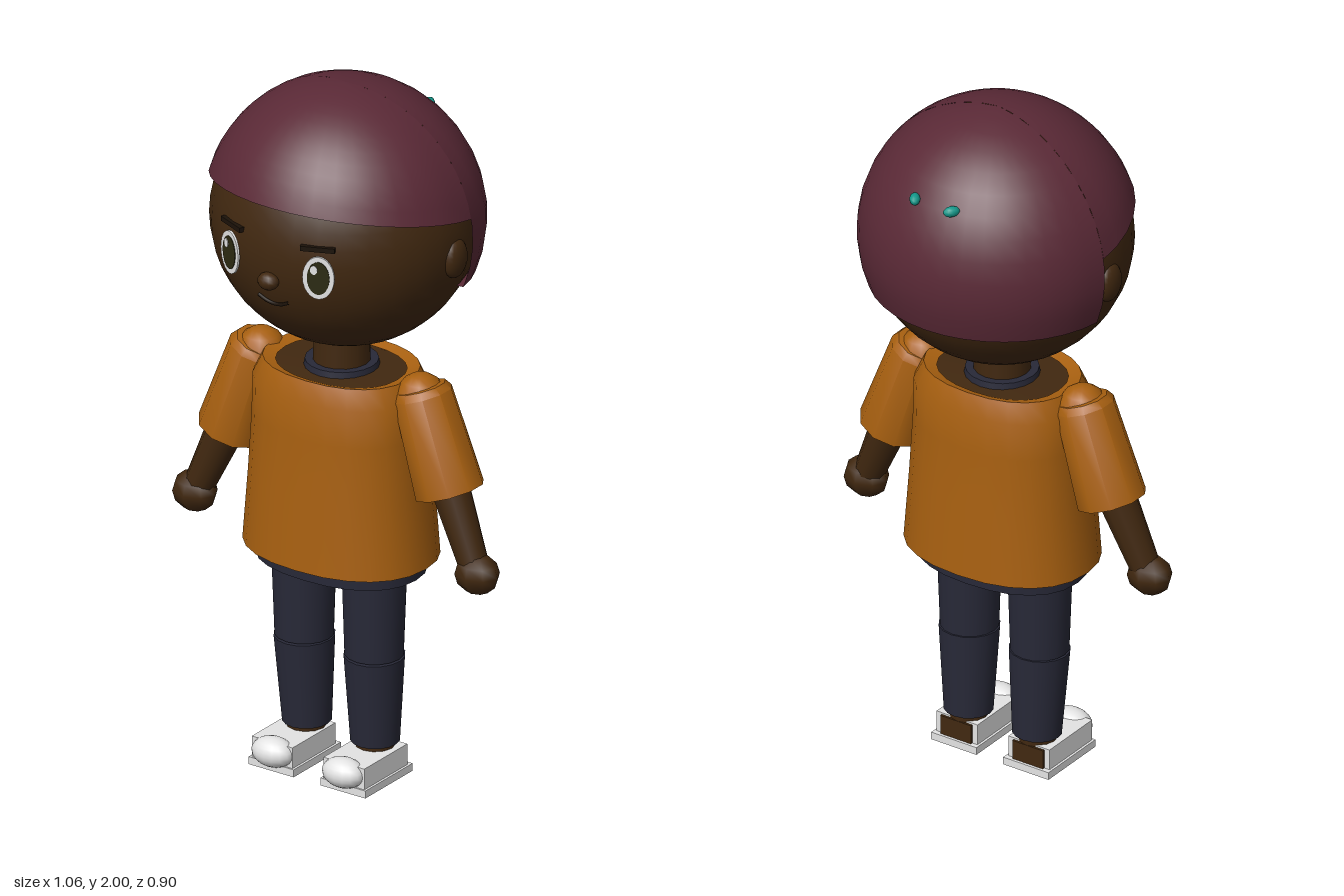
import * as THREE from 'three';
import { toCreasedNormals } from 'three/addons/utils/BufferGeometryUtils.js';

const material = (name, color, side = THREE.FrontSide) => {
  const m = new THREE.MeshStandardMaterial({ color, side });
  m.name = name;
  return m;
};

const HEAD = { y: 1.612, z: 0.08, rx: 0.37, ry: 0.357, rz: 0.355 };
const HAIR = { y: 1.615, z: 0.08, rx: 0.387, ry: 0.385, rz: 0.373 };

// Part of an ellipsoid shell, cut below by the plane y = base + slope * z, with a rim turned inwards
function hairShell(from, to, base, slope, cols, rows = 12) {
  const pos = [], index = [];
  const height = (t, a) => HAIR.y + HAIR.ry * Math.cos(t)
    - base - slope * (HAIR.z + HAIR.rz * Math.sin(t) * Math.cos(a));
  for (let j = 0; j <= cols; j++) {
    const a = from + (to - from) * j / cols;
    let lo = 0, hi = Math.PI;
    for (let k = 0; k < 30; k++) {
      const mid = (lo + hi) / 2;
      if (height(mid, a) > 0) lo = mid; else hi = mid;
    }
    for (let i = 0; i <= rows + 1; i++) {
      const t = lo * Math.min(i, rows) / rows;
      const r = Math.sin(t) * (i > rows ? 0.92 : 1);
      pos.push(HAIR.rx * r * Math.sin(a), HAIR.y + HAIR.ry * Math.cos(t), HAIR.z + HAIR.rz * r * Math.cos(a));
    }
  }
  const n = rows + 2;
  for (let j = 0; j < cols; j++) {
    for (let i = 0; i <= rows; i++) {
      const a = j * n + i, b = a + 1, d = a + n, c = d + 1;
      index.push(a, b, c);
      if (i > 0) index.push(a, c, d);
    }
  }
  const g = new THREE.BufferGeometry();
  g.setAttribute('position', new THREE.Float32BufferAttribute(pos, 3));
  g.setIndex(index);
  return toCreasedNormals(g, 0.7);
}

// Revolved profile [radius, y], squared off a little and flattened in depth
function ovalLathe(profile, depth, power = 0.88) {
  const g = new THREE.LatheGeometry(profile.map(p => new THREE.Vector2(...p)), 24);
  const p = g.attributes.position;
  for (let i = 0; i < p.count; i++) {
    const x = p.getX(i), z = p.getZ(i), r = Math.hypot(x, z) || 1;
    const bulge = v => Math.sign(v) * Math.pow(Math.abs(v / r), power) * r;
    p.setXYZ(i, bulge(x), p.getY(i), bulge(z) * depth);
  }
  return toCreasedNormals(g, 0.7);
}

export function createModel() {
  const model = new THREE.Group();
  model.name = 'child';
  const hair = material('plum hair', 0x5a2936, THREE.DoubleSide);
  const skin = material('brown skin', 0x412810);
  const shirt = material('orange shirt', 0xa86010, THREE.DoubleSide);
  const pants = material('navy trousers', 0x282938, THREE.DoubleSide);
  const white = material('white', 0xe4e4e4);
  const teal = material('teal hair tie', 0x13988a);
  const iris = material('dark olive', 0x2c2a12);
  const dark = material('dark brown', 0x1c1209);

  const add = (name, geometry, mat, x = 0, y = 0, z = 0, parent = model) => {
    const m = new THREE.Mesh(geometry, mat);
    m.name = name;
    m.position.set(x, y, z);
    parent.add(m);
    return m;
  };
  const ball = (name, mat, [x, y, z], [rx, ry, rz], w = 24, h = 16) => {
    const m = add(name, new THREE.SphereGeometry(1, w, h), mat, x, y, z);
    m.scale.set(rx, ry, rz);
    return m;
  };
  // Points a y-aligned mesh from one end (top) to the other
  const UP = new THREE.Vector3(0, 1, 0);
  const span = (name, geometryOf, mat, top, bottom) => {
    const a = new THREE.Vector3(...top), b = new THREE.Vector3(...bottom);
    const d = a.clone().sub(b), mid = a.add(b).multiplyScalar(0.5);
    const m = add(name, geometryOf(d.length()), mat, mid.x, mid.y, mid.z);
    m.quaternion.setFromUnitVectors(UP, d.normalize());
    return m;
  };
  const faceZ = (x, y) => HEAD.z + HEAD.rz
    * Math.sqrt(1 - (x / HEAD.rx) ** 2 - ((y - HEAD.y) / HEAD.ry) ** 2);

  // Head and hair
  ball('head', skin, [0, HEAD.y, HEAD.z], [HEAD.rx, HEAD.ry, HEAD.rz], 32, 24);
  const seam = 1.71;
  add('frontHair', hairShell(-seam, seam, 1.669, 0.205, 20), hair);
  add('backHair', hairShell(seam, 2 * Math.PI - seam, 1.47, 0, 18), hair);

  // Ponytail, hanging from the back of the head
  const tail = span('ponytail', h => new THREE.ConeGeometry(0.095, h, 7), hair,
    [0, 1.58, -0.46], [0, 1.838, -0.25]);
  // one corner of the base at the top rear
  tail.setRotationFromMatrix(new THREE.Matrix4().makeBasis(
    new THREE.Vector3(-1, 0, 0),
    new THREE.Vector3(0, -0.7756, -0.6313),
    new THREE.Vector3(0, 0.6313, -0.7756)));
  for (const s of [1, -1]) {
    const tie = ball('hairTie', teal, [s * 0.06, 1.838, -0.228], [0.015, 0.015, 0.024], 10, 8);
    tie.rotation.y = s * 0.6;
  }

  // Face
  for (const s of [1, -1]) {
    ball('ear', skin, [s * 0.362, 1.575, 0.08], [0.026, 0.056, 0.046], 16, 12);
    const eye = new THREE.Group();
    eye.name = 'eye';
    eye.position.set(s * 0.145, 1.582, faceZ(0.145, 1.582) + 0.003);
    eye.rotation.y = s * 0.4;
    model.add(eye);
    const disc = (name, mat, x, y, z, rx, ry) => {
      const g = new THREE.CylinderGeometry(1, 1, 0.006, 24).rotateX(Math.PI / 2);
      add(name, g, mat, x, y, z, eye).scale.set(rx, ry, 1);
    };
    disc('eyeWhite', white, 0, 0, 0, 0.044, 0.062);
    disc('iris', iris, 0, 0, 0.002, 0.031, 0.048);
    disc('eyeGlint', white, -0.012, 0.024, 0.004, 0.01, 0.013);
    const brow = add('eyebrow', new THREE.BoxGeometry(0.095, 0.014, 0.016), dark,
      s * 0.14, 1.665, faceZ(0.14, 1.665));
    brow.rotation.y = s * 0.4;
  }
  ball('nose', skin, [0, 1.545, 0.437], [0.032, 0.025, 0.025], 12, 8);
  const smile = [-0.05, -0.025, 0, 0.025, 0.05].map(x => {
    const y = 1.468 + 6.5 * x * x;
    return new THREE.Vector3(x, y, faceZ(x, y) + 0.003);
  });
  add('mouth', new THREE.TubeGeometry(new THREE.CatmullRomCurve3(smile), 16, 0.005, 6), dark);

  // Neck, shoulders and shirt
  add('neck', new THREE.CylinderGeometry(0.076, 0.08, 0.16, 16), skin, 0, 1.22, 0.095);
  add('collar', new THREE.CylinderGeometry(0.1, 0.105, 0.03, 20), pants, 0, 1.177, 0.095);
  add('chest', ovalLathe([[0.2, 1.08], [0.2, 1.172], [0, 1.18]], 0.73), skin, 0, 0, 0.097);
  add('shirt', ovalLathe([[0.278, 0.64], [0.262, 0.85], [0.252, 1.02], [0.25, 1.13],
    [0.222, 1.186], [0.185, 1.176]], 0.755), shirt, 0, 0, 0.097);

  // Hips
  add('waistband', ovalLathe([[0.245, 0.598], [0.25, 0.7]], 0.71), pants, 0, 0, 0.097);
  const hips = add('hips', new THREE.CylinderGeometry(0.235, 0.235, 0.06, 24), skin, 0, 0.645, 0.097);
  hips.scale.z = 0.7;

  for (const s of [1, -1]) {
    // Sleeve and arm
    ball('shoulder', shirt, [s * 0.262, 1.145, 0.098], [0.07, 0.07, 0.07], 12, 8);
    span('sleeve', h => toCreasedNormals(new THREE.LatheGeometry([
      new THREE.Vector2(0.098, -h / 2), new THREE.Vector2(0.084, h / 2 - 0.02),
      new THREE.Vector2(0.07, h / 2), new THREE.Vector2(0, h / 2 + 0.008)], 10), 0.7), shirt,
    [s * 0.262, 1.175, 0.098], [s * 0.357, 0.895, 0.098]);
    span('arm', h => new THREE.CylinderGeometry(0.06, 0.042, h, 10), skin,
      [s * 0.325, 1.0, 0.1], [s * 0.455, 0.7, 0.12]);
    ball('hand', skin, [s * 0.464, 0.687, 0.122], [0.067, 0.058, 0.055], 8, 6);

    // Leg
    span('thigh', h => new THREE.CylinderGeometry(0.091, 0.081, h, 16), pants,
      [s * 0.116, 0.65, 0.107], [s * 0.115, 0.355, 0.107]);
    span('calf', h => new THREE.CylinderGeometry(0.084, 0.068, h, 16), pants,
      [s * 0.115, 0.352, 0.106], [s * 0.112, 0.098, 0.098]);
    add('ankle', new THREE.CylinderGeometry(0.055, 0.055, 0.06, 12), skin, s * 0.113, 0.085, 0.1);

    // Shoe with an open heel
    add('sole', new THREE.BoxGeometry(0.148, 0.022, 0.22), white, s * 0.118, 0.011, 0.147);
    add('shoeUpper', new THREE.BoxGeometry(0.134, 0.062, 0.2), white, s * 0.118, 0.052, 0.152);
    add('heel', new THREE.BoxGeometry(0.1, 0.056, 0.02), skin, s * 0.118, 0.05, 0.055);
    ball('toeCap', white, [s * 0.116, 0.055, 0.25], [0.064, 0.042, 0.047], 16, 12);
  }
  return model;
}
